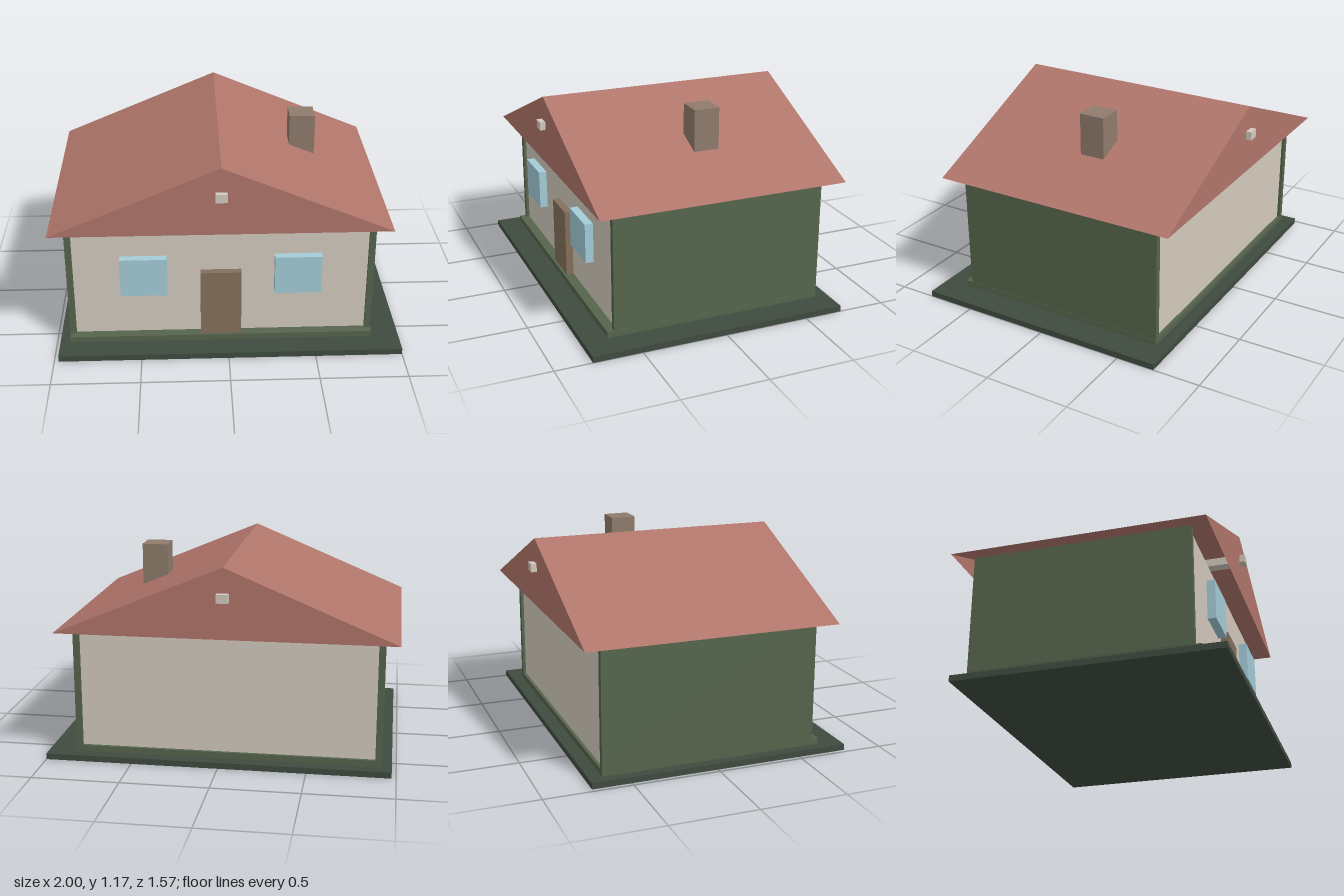
import * as THREE from 'three';

const material = (color, extra = {}) => new THREE.MeshStandardMaterial({ color, flatShading: true, ...extra });

const green = material(0x56654d);
const darkGreen = material(0x3f4b3f);
const cream = material(0xd3cabd);
const brown = material(0x84705c);
const blue = material(0xa3ccd8);
const stone = material(0x8f7b6c);
const red = material(0xb0756a, { side: THREE.DoubleSide });

// Box given by its extents along each axis
function block(name, mat, [x0, x1], [y0, y1], [z0, z1]) {
  const mesh = new THREE.Mesh(new THREE.BoxGeometry(x1 - x0, y1 - y0, z1 - z0), mat);
  mesh.position.set((x0 + x1) / 2, (y0 + y1) / 2, (z0 + z1) / 2);
  mesh.name = name;
  return mesh;
}

// Hollow gabled shell, open underneath: two slopes and two gable triangles
function gableRoof(halfWidth, eaveY, ridgeY, front, back) {
  const section = [[-halfWidth, eaveY], [0, ridgeY], [halfWidth, eaveY]];
  const points = [front, back].flatMap((z) => section.map(([x, y]) => [x, y, z]).flat());
  const geometry = new THREE.BufferGeometry();
  geometry.setAttribute('position', new THREE.Float32BufferAttribute(points, 3));
  geometry.setIndex([
    0, 2, 1, 3, 4, 5, // gables
    0, 1, 4, 0, 4, 3, // left-hand slope
    1, 2, 5, 1, 5, 4, // right-hand slope
  ]);
  const flat = geometry.toNonIndexed();
  flat.computeVertexNormals();
  return flat;
}

export function createModel() {
  const model = new THREE.Group();
  model.name = 'house';

  // Ground plate and floor with its front step
  model.add(
    block('groundPlate', darkGreen, [-0.975, 1], [0, 0.035], [-0.725, 0.785]),
    block('floor', green, [-0.915, 0.84], [0.035, 0.07], [-0.65, 0.645]),
  );

  // House parts are symmetric about the ridge line
  const house = new THREE.Group();
  house.name = 'houseBody';
  house.position.x = -0.04;
  model.add(house);

  for (const [side, s] of [['left', 1], ['right', -1]]) {
    const span = (a, b) => (s > 0 ? [a, b] : [-b, -a]);
    house.add(
      block(side + 'Wall', green, span(0.842, 0.878), [0.07, 0.765], [-0.65, 0.605]),
      block(side + 'Window', blue, span(0.305, 0.572), [0.352, 0.585], [0.61, 0.658]),
    );
  }

  // Front and back walls set in slightly between the side walls
  house.add(
    block('frontWall', cream, [-0.842, 0.842], [0.07, 0.765], [0.55, 0.587]),
    block('backWall', cream, [-0.842, 0.842], [0.07, 0.765], [-0.632, -0.595]),
    block('door', brown, [-0.117, 0.117], [0.07, 0.476], [0.58, 0.63]),
  );

  // Roof with a beam running through both gables
  const roof = new THREE.Mesh(gableRoof(0.96, 0.765, 1.166, 0.703, -0.757), red);
  roof.name = 'roof';
  house.add(roof, block('roofBeam', cream, [-0.033, 0.033], [0.975, 1.024], [-0.79, 0.735]));

  model.add(block('chimney', stone, [0.39, 0.54], [0.87, 1.168], [-0.145, 0.005]));
  return model;
}
